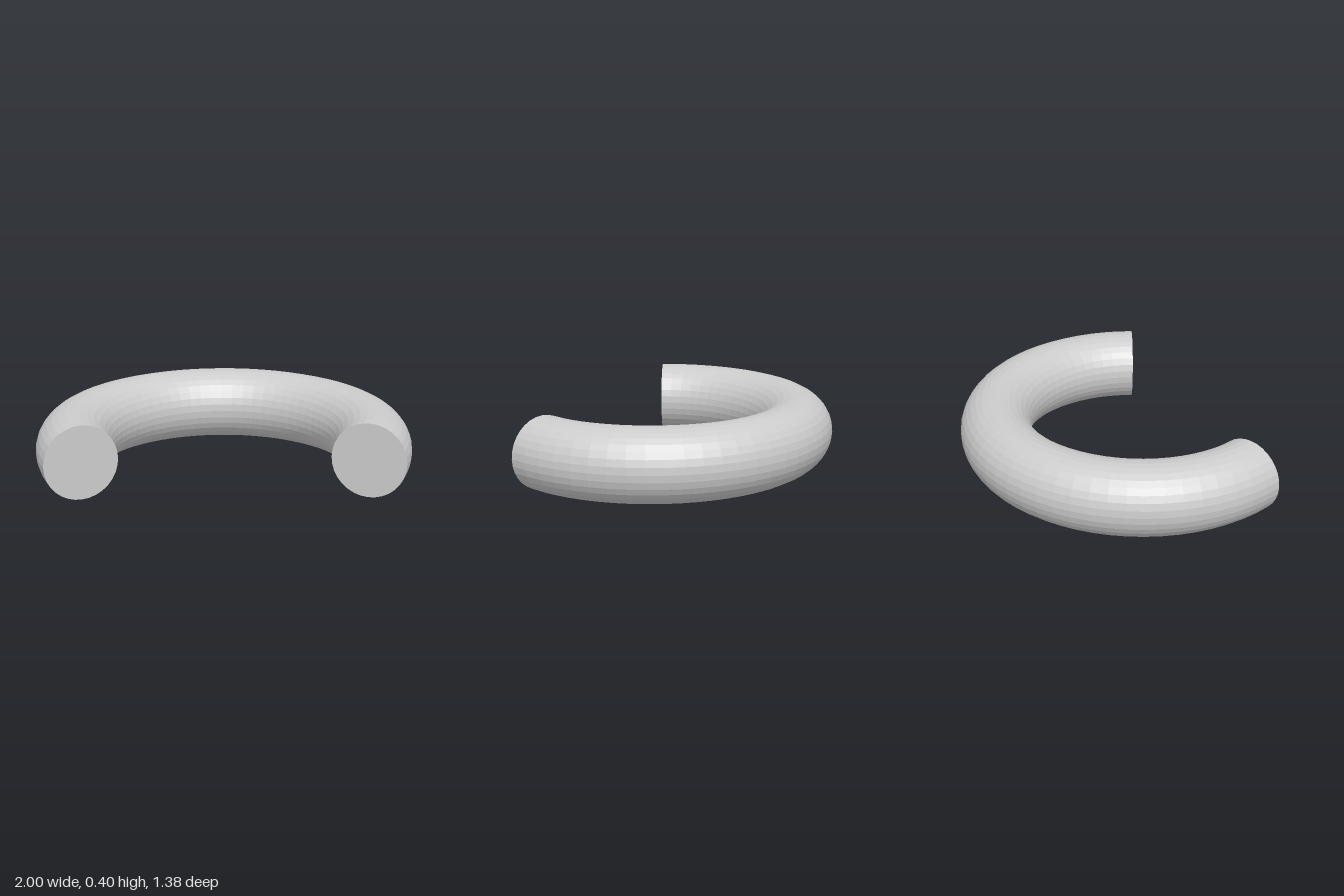
import * as THREE from 'three';

export function createModel() {
  const group = new THREE.Group();
  group.name = 'openRing';
  const material = new THREE.MeshStandardMaterial({ color: 0xcccccc, flatShading: true });

  const ringRadius = 0.8, tubeRadius = 0.2, sides = 32;
  const arc = Math.PI * 1.25;
  const start = -Math.PI / 8;
  const centreZ = (1 - Math.sin(Math.PI / 8)) / 2;

  // Lay a part down, with the gap of the ring towards the front
  const add = (geometry, name) => {
    geometry.rotateZ(start).rotateX(-Math.PI / 2).translate(0, tubeRadius, centreZ);
    const mesh = new THREE.Mesh(geometry, material);
    mesh.name = name;
    group.add(mesh);
  };

  // Curved tube
  add(new THREE.TorusGeometry(ringRadius, tubeRadius, sides, 40, arc), 'curvedTube');

  // Flat end caps
  const cap = (tilt, angle, name) => add(
    new THREE.CircleGeometry(tubeRadius, sides).rotateX(tilt).translate(ringRadius, 0, 0).rotateZ(angle),
    name
  );
  cap(Math.PI / 2, 0, 'leftEndCap');
  cap(-Math.PI / 2, arc, 'rightEndCap');

  return group;
}
